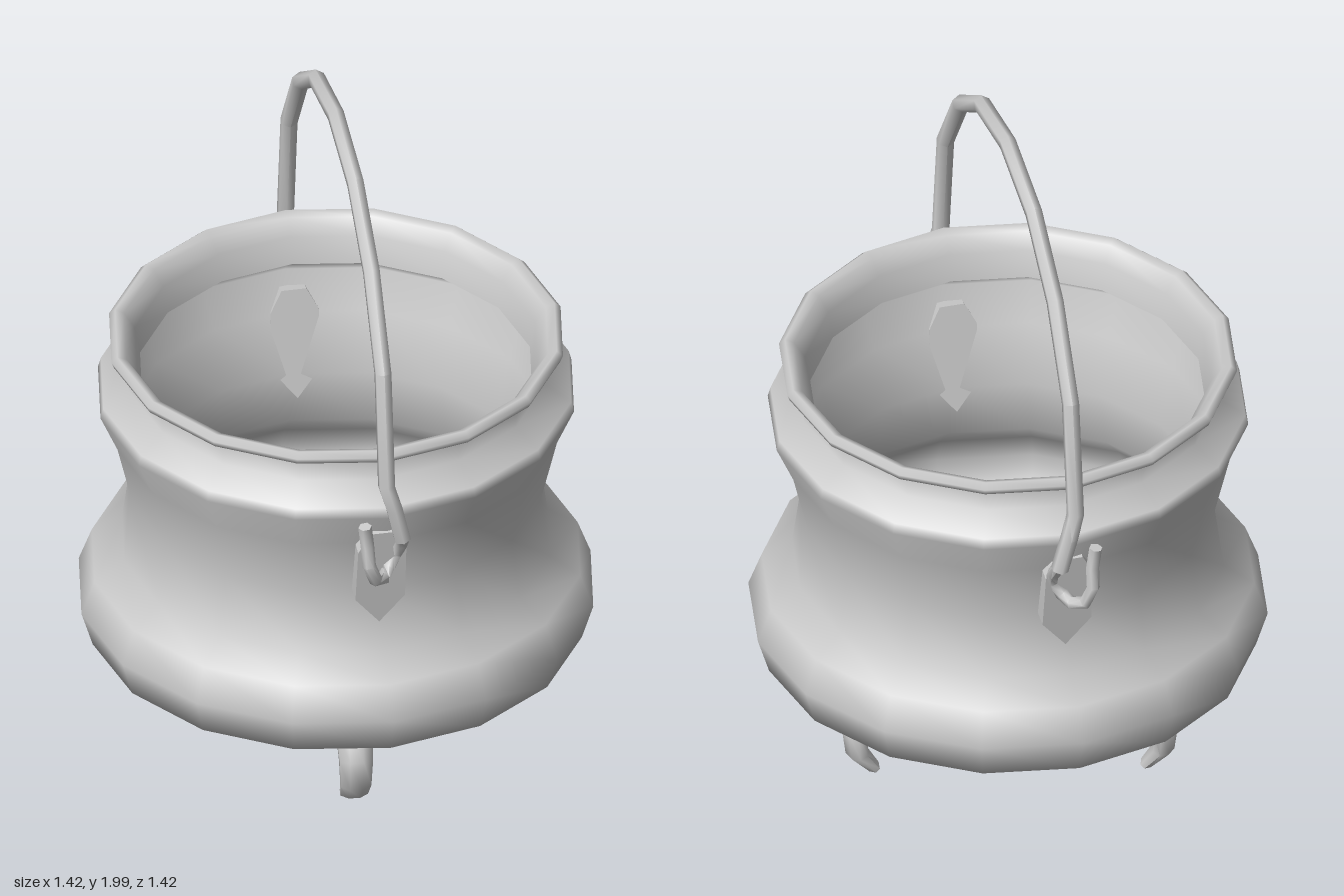
import * as THREE from 'three';
import { toCreasedNormals } from 'three/addons/utils/BufferGeometryUtils.js';

const material = new THREE.MeshStandardMaterial({ color: 0xcccccc });
const SIDES = 16;

function add(parent, name, geometry) {
  const mesh = new THREE.Mesh(geometry, material);
  mesh.name = name;
  parent.add(mesh);
  return mesh;
}

function lathe(profile) {
  const points = profile.map(([r, y]) => new THREE.Vector2(r, y));
  return new THREE.LatheGeometry(points, SIDES, Math.PI / SIDES);
}

// Sweeps an ellipse along a path; radii(i) gives [along ref, across ref]
function sweep(path, ref, radii, sides) {
  const pts = path.map((p) => new THREE.Vector3(...p));
  const pos = [], idx = [];
  pts.forEach((p, i) => {
    const before = pts[Math.max(i - 1, 0)], after = pts[Math.min(i + 1, pts.length - 1)];
    const t = after.clone().sub(before).normalize();
    const n = ref.clone().addScaledVector(t, -ref.dot(t)).normalize();
    const b = t.clone().cross(n);
    const [ra, rb] = radii(i);
    for (let j = 0; j < sides; j++) {
      const a = ((j + 0.5) / sides) * Math.PI * 2;
      const v = p.clone().addScaledVector(n, ra * Math.cos(a)).addScaledVector(b, rb * Math.sin(a));
      pos.push(v.x, v.y, v.z);
      if (i < pts.length - 1) {
        const k = i * sides, j2 = (j + 1) % sides;
        idx.push(k + j, k + j2, k + sides + j, k + j2, k + sides + j2, k + sides + j);
      }
    }
  });
  // End caps
  const last = (pts.length - 1) * sides;
  for (let j = 1; j < sides - 1; j++) {
    idx.push(0, j + 1, j, last, last + j, last + j + 1);
  }
  const g = new THREE.BufferGeometry();
  g.setAttribute('position', new THREE.Float32BufferAttribute(pos, 3));
  g.setIndex(idx);
  return toCreasedNormals(g, 1.1);
}

export function createModel() {
  const model = new THREE.Group();
  model.name = 'cauldron';

  // Bellied pot: outer wall, rolled rim and inner wall
  add(model, 'potBody', lathe([
    [0, 0.13], [0.2, 0.135], [0.69, 0.325], [0.722, 0.43], [0.685, 0.53], [0.6, 0.585],
    [0.575, 0.77], [0.62, 0.96], [0.668, 1.07], [0.66, 1.1], [0.588, 1.15], [0.59, 1.225],
  ]));
  add(model, 'rim', lathe([
    [0.59, 1.225], [0.63, 1.232], [0.637, 1.25], [0.62, 1.265], [0.595, 1.255], [0.565, 1.21], [0.55, 1.13],
  ]));
  add(model, 'potInside', lathe([
    [0.55, 1.13], [0.62, 1.09], [0.635, 1.06], [0.585, 0.95], [0.545, 0.77], [0.57, 0.6],
    [0.645, 0.52], [0.685, 0.43], [0.655, 0.34], [0.2, 0.15], [0, 0.145],
  ]));

  // Three clawed legs curling out and back under the pot
  const legPath = [[0.36, 0.25, 0], [0.44, 0.225, 0], [0.487, 0.16, 0], [0.48, 0.08, 0], [0.435, 0.02, 0]];
  const legWidth = [0.058, 0.054, 0.05, 0.046, 0.042];
  const legThick = [0.03, 0.042, 0.036, 0.03, 0.02];
  for (const degrees of [21, 130, 257]) {
    const leg = add(model, 'leg', sweep(legPath, new THREE.Vector3(0, 0, 1),
      (i) => [legWidth[i], legThick[i]], 8));
    leg.rotation.y = -THREE.MathUtils.degToRad(degrees);
  }

  // Handle assembly lies in its own xy plane, turned diagonally over the pot
  const bail = new THREE.Group();
  bail.name = 'handleAssembly';
  bail.rotation.y = THREE.MathUtils.degToRad(55);
  model.add(bail);

  const half = [[0.27, 1.925, 0], [0.49, 1.775, 0], [0.65, 1.54, 0], [0.7, 1.2, 0], [0.71, 1.13, 0.02], [0.7, 1.02, 0.045]];
  const mirror = ([x, y, z]) => [-x, y, z];
  const arch = [...half.map(mirror).reverse(), [0, 1.976, 0], ...half];
  add(bail, 'handle', sweep(arch, new THREE.Vector3(0, 0, 1), () => [0.025, 0.025], 6));

  // Hooked handle ends, and the pointed lugs they hang from
  const hook = [
    [0.7, 1.03, 0.045], [0.66, 0.98, 0.052], [0.62, 0.925, 0.045], [0.63, 0.885, 0.02], [0.66, 0.87, 0],
    [0.695, 0.89, -0.03], [0.705, 0.945, -0.05], [0.69, 1.0, -0.052], [0.695, 1.07, -0.06],
  ];
  const lugShape = new THREE.Shape([
    [0, -0.165], [0.07, -0.075], [0.068, 0.1], [0.035, 0.165], [-0.035, 0.165], [-0.068, 0.1], [-0.07, -0.075],
  ].map(([x, y]) => new THREE.Vector2(x, y)));
  const lugGeometry = new THREE.ExtrudeGeometry(lugShape, { depth: 0.07, bevelEnabled: false })
    .translate(0, 0, -0.035).rotateY(Math.PI / 2);

  for (const side of [-1, 1]) {
    const path = side > 0 ? hook : hook.map(mirror);
    add(bail, 'handleHook', sweep(path, new THREE.Vector3(1, 0, 0), () => [0.019, 0.019], 6));
    const lug = add(bail, 'lug', lugGeometry);
    lug.position.set(side * 0.59, 0.855, 0);
    lug.rotation.z = -side * 0.16;
  }

  return model;
}
